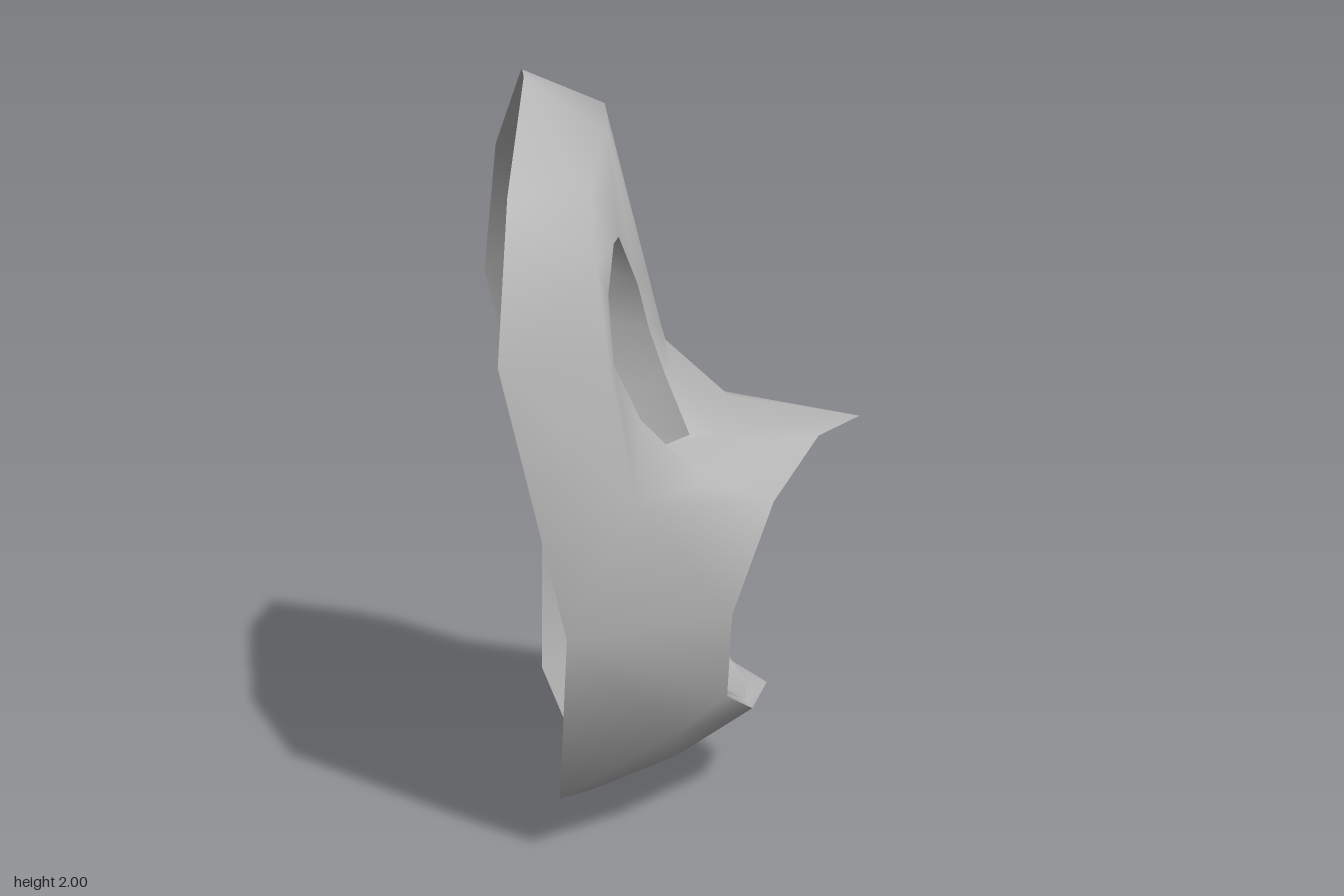
import * as THREE from 'three';
import { mergeVertices } from 'three/addons/utils/BufferGeometryUtils.js';

const clay = new THREE.MeshStandardMaterial({ color: 0xb2b2b2, side: THREE.DoubleSide });
clay.name = 'plain grey';

const P = (...rows) => rows.map((r) => new THREE.Vector3(...r));

// Triangles between two polylines, always taking the shorter cross edge
function stitch(a, b) {
  const tris = [];
  let i = 0, j = 0;
  while (i < a.length - 1 || j < b.length - 1) {
    const da = i < a.length - 1 ? a[i + 1].distanceTo(b[j]) : Infinity;
    const db = j < b.length - 1 ? b[j + 1].distanceTo(a[i]) : Infinity;
    if (da <= db) tris.push([a[i], b[j], a[++i]]);
    else tris.push([a[i], b[j], b[++j]]);
  }
  return tris;
}

// Quad band between two polylines of equal length
function band(a, b) {
  const tris = [];
  for (let i = 0; i < a.length - 1; i++) {
    tris.push([a[i], b[i], a[i + 1]], [a[i + 1], b[i], b[i + 1]]);
  }
  return tris;
}

// Turns the triangles away from (sign 1) or towards (sign -1) a point,
// mirrors them across z = 0 and gives smooth normals
function mirroredMesh(name, tris, centre, sign) {
  const pos = [];
  const n = new THREE.Vector3(), mid = new THREE.Vector3();
  for (let [a, b, c] of tris) {
    new THREE.Triangle(a, b, c).getNormal(n);
    if (n.lengthSq() < 0.5) continue;
    mid.copy(a).add(b).add(c).divideScalar(3).sub(centre);
    if (n.dot(mid) * sign < 0) [b, c] = [c, b];
    for (const v of [a, b, c]) pos.push(v.x, v.y, v.z);
    for (const v of [a, c, b]) pos.push(v.x, v.y, -v.z);
  }
  let geo = new THREE.BufferGeometry();
  geo.setAttribute('position', new THREE.Float32BufferAttribute(pos, 3));
  geo = mergeVertices(geo, 1e-4);
  geo.computeVertexNormals();
  const mesh = new THREE.Mesh(geo, clay);
  mesh.name = name;
  return mesh;
}

export function createModel() {
  const group = new THREE.Group();
  group.name = 'mask';

  // Back rim, from crown to chin
  const rim = P([-0.41, 2, 0], [-0.41, 1.99, 0.09], [-0.47, 1.74, 0.495], [-0.505, 1.35, 0.66],
    [-0.345, 0.65, 0.66], [-0.36, 0.165, 0.51], [-0.26, 0.01, 0.09], [-0.2, 0, 0]);
  // Middle line from forehead to the nose root
  const nose = P([-0.195, 1.91, 0], [-0.095, 1.5, 0], [-0.055, 1.34, 0], [-0.035, 1.27, 0], [0.14, 1.11, 0]);
  // Eye opening and the loop of brow, nose side and cheek around it
  const eye = P([-0.2, 1.6, 0.37], [-0.18, 1.6, 0.27], [-0.125, 1.46, 0.19], [-0.095, 1.34, 0.175],
    [-0.055, 1.22, 0.2], [0, 1.08, 0.3], [-0.09, 1.07, 0.39], [-0.14, 1.16, 0.45],
    [-0.21, 1.31, 0.48], [-0.22, 1.48, 0.44]);
  const socket = P([-0.26, 1.74, 0.36], [-0.2, 1.86, 0.18], [-0.1, 1.5, 0.16], [-0.06, 1.34, 0.15],
    [-0.035, 1.23, 0.165], [0.09, 1.07, 0.28], [0.03, 0.98, 0.42], [-0.16, 0.97, 0.57],
    [-0.225, 1.31, 0.55], [-0.25, 1.56, 0.47]);
  // Lip edge from the beak tip to the lower lip, its inner edge and the throat
  const lip = P([0.5, 1.045, 0], [0.37, 1.02, 0.11], [0.21, 0.92, 0.395], [0.09, 0.65, 0.5],
    [0.09, 0.39, 0.4], [0.19, 0.26, 0.15], [0.25, 0.28, 0]);
  const innerLip = P([0.32, 0.98, 0], [0.29, 0.975, 0.16], [0.19, 0.88, 0.35], [0.08, 0.64, 0.43],
    [0.08, 0.39, 0.36], [0.17, 0.29, 0.16], [0.19, 0.29, 0]);
  const throat = P([-0.15, 0.79, 0], [-0.15, 0.79, 0.18], [-0.15, 0.74, 0.27], [-0.15, 0.64, 0.31],
    [-0.15, 0.53, 0.27], [-0.15, 0.48, 0.18], [-0.15, 0.48, 0]);
  const chin = P([-0.05, 0.31, 0.45], [-0.02, 0.12, 0.13], [0.02, 0.095, 0]);

  // Face shell
  const s = socket;
  const shell = [
    ...band([...eye, eye[0]], [...s, s[0]]),
    ...band(s.slice(1, 6), nose),
    ...stitch([s[5]], [nose[4], lip[0], lip[1]]),
    ...band(s.slice(5, 8), lip.slice(1, 4)),
    ...stitch(rim.slice(0, 5), [nose[0], s[1], s[0], s[9], s[8], s[7]]),
    [s[7], lip[3], rim[4]],
    ...stitch([lip[3], lip[4], chin[0]], [rim[4], rim[5]]),
    ...band(lip.slice(4), chin),
    ...band(chin, rim.slice(5)),
  ];
  group.add(mirroredMesh('faceShell', shell, new THREE.Vector3(-0.35, 0.45, 0), 1));

  // Mouth: lip border and tunnel open at the back
  const mouth = new THREE.Vector3(0.5, 0.64, 0);
  group.add(mirroredMesh('lipBorder', band(lip, innerLip), mouth, -1));
  group.add(mirroredMesh('mouthTunnel', band(innerLip, throat), mouth, -1));

  // Eye cups: the opening pushed back, drawn in towards the nose below, and closed
  const back = eye.map((v) => new THREE.Vector3(
    v.x - 0.225, 1.25 + (v.y - 1.34) * 1.34, 0.255 + (v.z - 0.32) * 0.8 + (v.y - 1.34) * 0.2));
  const backMid = new THREE.Vector3(-0.36, 1.25, 0.255);
  const cup = band([...eye, eye[0]], [...back, back[0]]);
  back.forEach((v, i) => cup.push([v, back[(i + 1) % back.length], backMid]));
  group.add(mirroredMesh('eyeCups', cup, new THREE.Vector3(-0.17, 1.3, 0.3), -1));

  return group;
}
